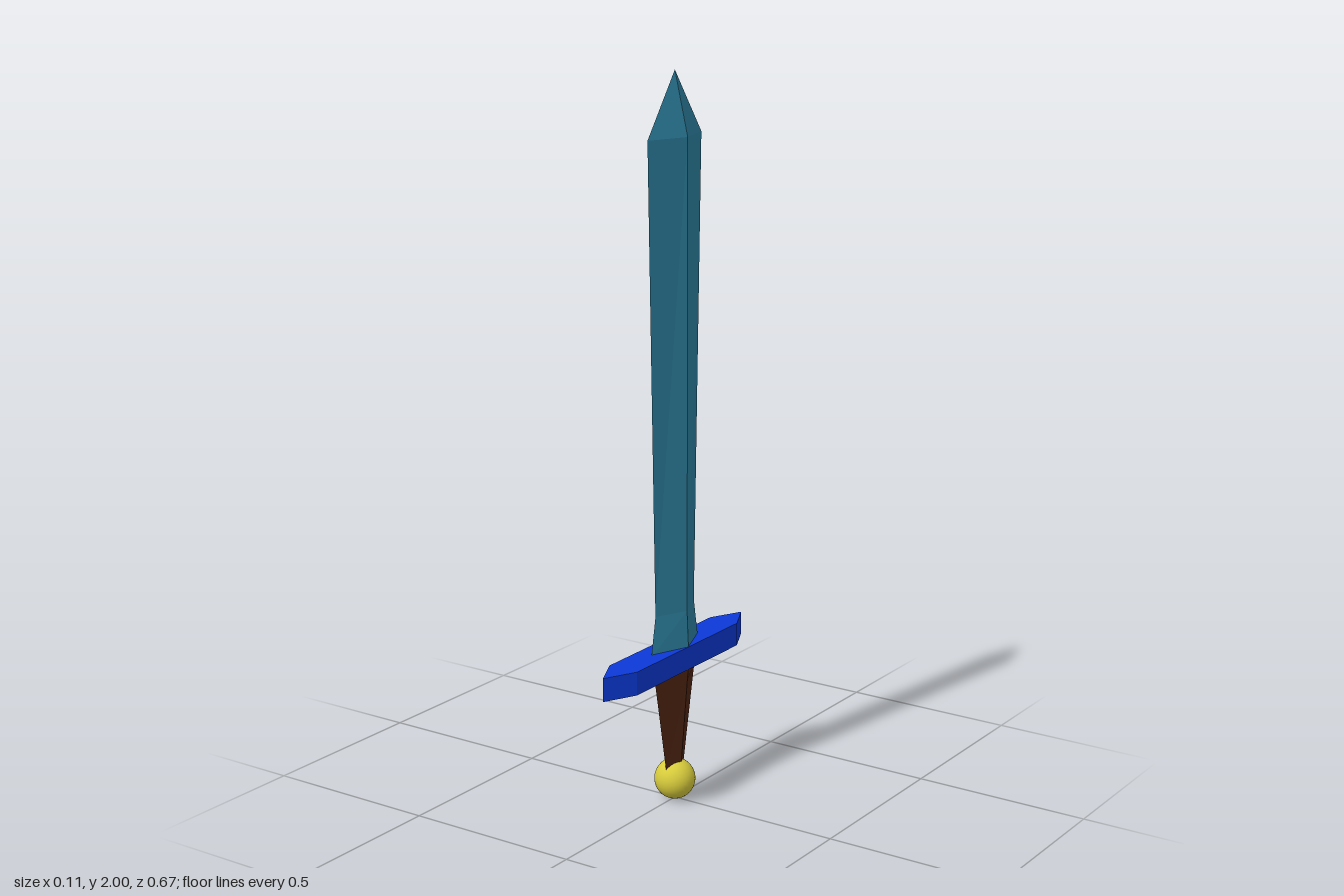
import * as THREE from 'three';

// Stack of diamond cross-sections [y, halfX, halfZ], from bottom to top
function diamondLoft(rings) {
  const pos = [], idx = [];
  for (const [y, hx, hz] of rings) pos.push(0, y, hz, hx, y, 0, 0, y, -hz, -hx, y, 0);
  for (let r = 0; r < rings.length - 1; r++) {
    for (let k = 0; k < 4; k++) {
      const a = r * 4 + k, b = r * 4 + (k + 1) % 4;
      idx.push(a, b, b + 4);
      // skip the collapsed triangle at a pointed end
      if (rings[r + 1][1] > 0) idx.push(a, b + 4, a + 4);
    }
  }
  const top = (rings.length - 1) * 4;
  idx.push(0, 2, 1, 0, 3, 2);
  if (rings[rings.length - 1][1] > 0) idx.push(top, top + 1, top + 2, top, top + 2, top + 3);
  const g = new THREE.BufferGeometry();
  g.setAttribute('position', new THREE.Float32BufferAttribute(pos, 3));
  g.setIndex(idx);
  const flat = g.toNonIndexed();
  flat.computeVertexNormals();
  return flat;
}

export function createModel() {
  const group = new THREE.Group();
  const add = (name, geometry, color, flatShading = true) => {
    const mesh = new THREE.Mesh(geometry, new THREE.MeshStandardMaterial({ color, flatShading }));
    mesh.name = name;
    group.add(mesh);
    return mesh;
  };

  // Blade: flared foot, widening towards a pointed tip
  add('blade', diamondLoft([
    [0.44, 0.045, 0.112], [0.55, 0.04, 0.092], [1.83, 0.04, 0.123], [2, 0, 0],
  ]), 0x2d809f);

  // Crossguard: flat bar with pointed ends along z
  const outline = new THREE.Shape([
    [0, 0.333], [-0.045, 0.242], [-0.045, -0.242], [0, -0.333], [0.045, -0.242], [0.045, 0.242],
  ].map(([x, y]) => new THREE.Vector2(x, y)));
  const guard = new THREE.ExtrudeGeometry(outline, { depth: 0.065, bevelEnabled: false });
  guard.rotateX(-Math.PI / 2).translate(0, 0.383, 0);
  add('crossguard', guard, 0x0d39d8);

  // Grip: tapers down into the pommel
  add('grip', diamondLoft([
    [0.09, 0.02, 0.042], [0.35, 0.041, 0.092], [0.39, 0.045, 0.115],
  ]), 0x4f2412);

  // Pommel ball
  add('pommel', new THREE.SphereGeometry(0.057, 32, 16), 0xd8cc3c, false).position.y = 0.057;

  return group;
}
